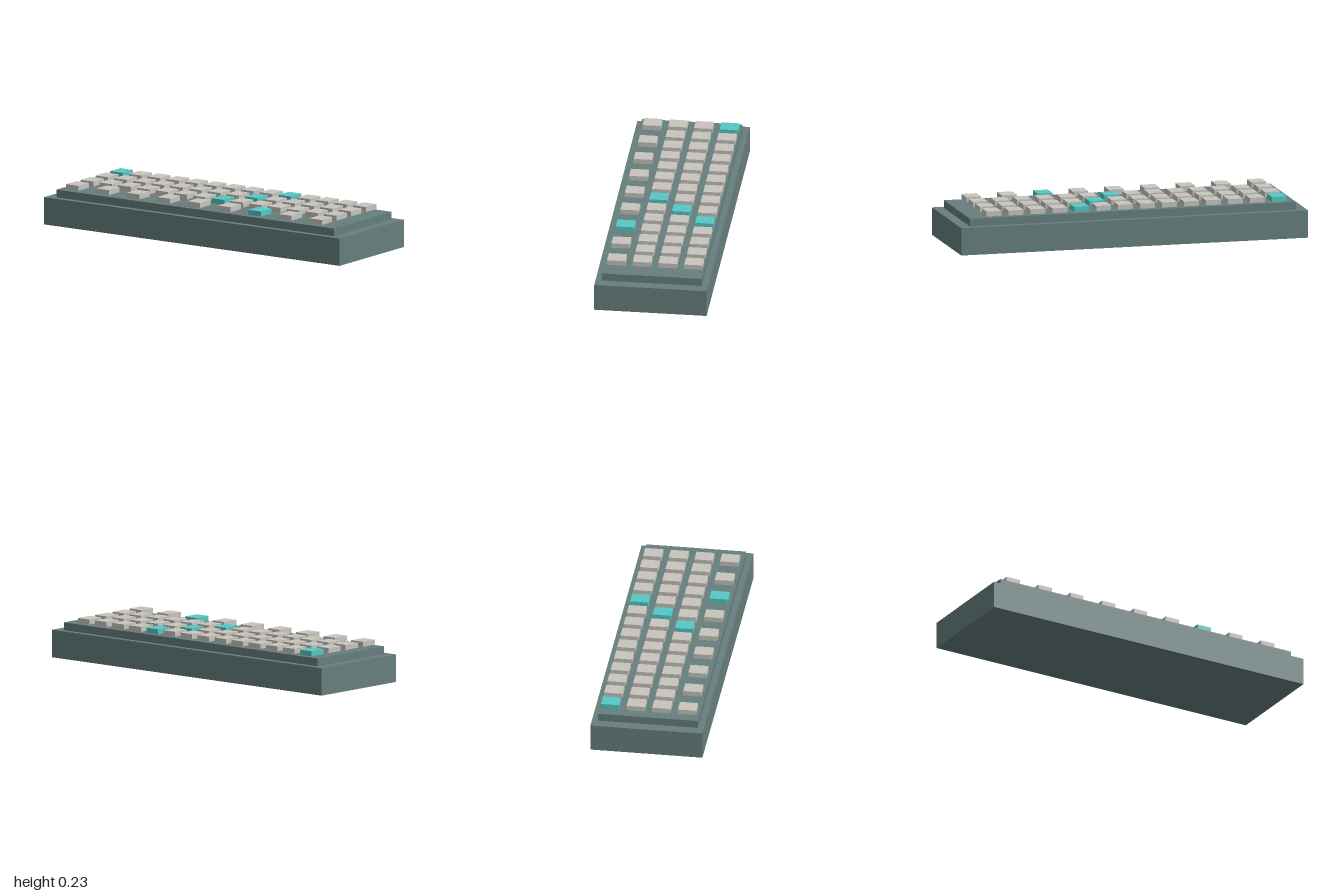
import * as THREE from 'three';

export function createModel() {
  const model = new THREE.Group();
  model.name = 'keyboard';

  const material = (name, color) => {
    const m = new THREE.MeshStandardMaterial({ color });
    m.name = name;
    return m;
  };
  const caseGrey = material('caseGrey', 0x667f7e);
  const keyGrey = material('keyGrey', 0xc8c5be);
  const accentTeal = material('accentTeal', 0x56c8c5);

  const addBox = (name, geometry, mat, x, y, z) => {
    const mesh = new THREE.Mesh(geometry, mat);
    mesh.name = name;
    mesh.position.set(x, y, z);
    model.add(mesh);
  };

  // Case: wide base with a stepped top plate
  addBox('caseBase', new THREE.BoxGeometry(2, 0.155, 0.63), caseGrey, 0, 0.0775, 0);
  addBox('topPlate', new THREE.BoxGeometry(1.88, 0.044, 0.562), caseGrey, 0, 0.177, 0);

  // Keys: rows from back to front, hovering just above the plate
  const keyGeometry = new THREE.BoxGeometry(0.086, 0.028, 0.102);
  const firstX = -0.845, lastX = 0.8;
  const rows = [
    { count: 14, accents: [0, 9] },
    { count: 14, accents: [8] },
    { count: 14, accents: [7] },
    { count: 9, accents: [6] },
  ];
  rows.forEach(({ count, accents }, r) => {
    const z = -0.221 + r * 0.1442;
    for (let i = 0; i < count; i++) {
      const x = firstX + ((lastX - firstX) * i) / (count - 1);
      const accent = accents.includes(i);
      addBox(accent ? 'accentKey' : 'key', keyGeometry, accent ? accentTeal : keyGrey, x, 0.219, z);
    }
  });

  return model;
}
